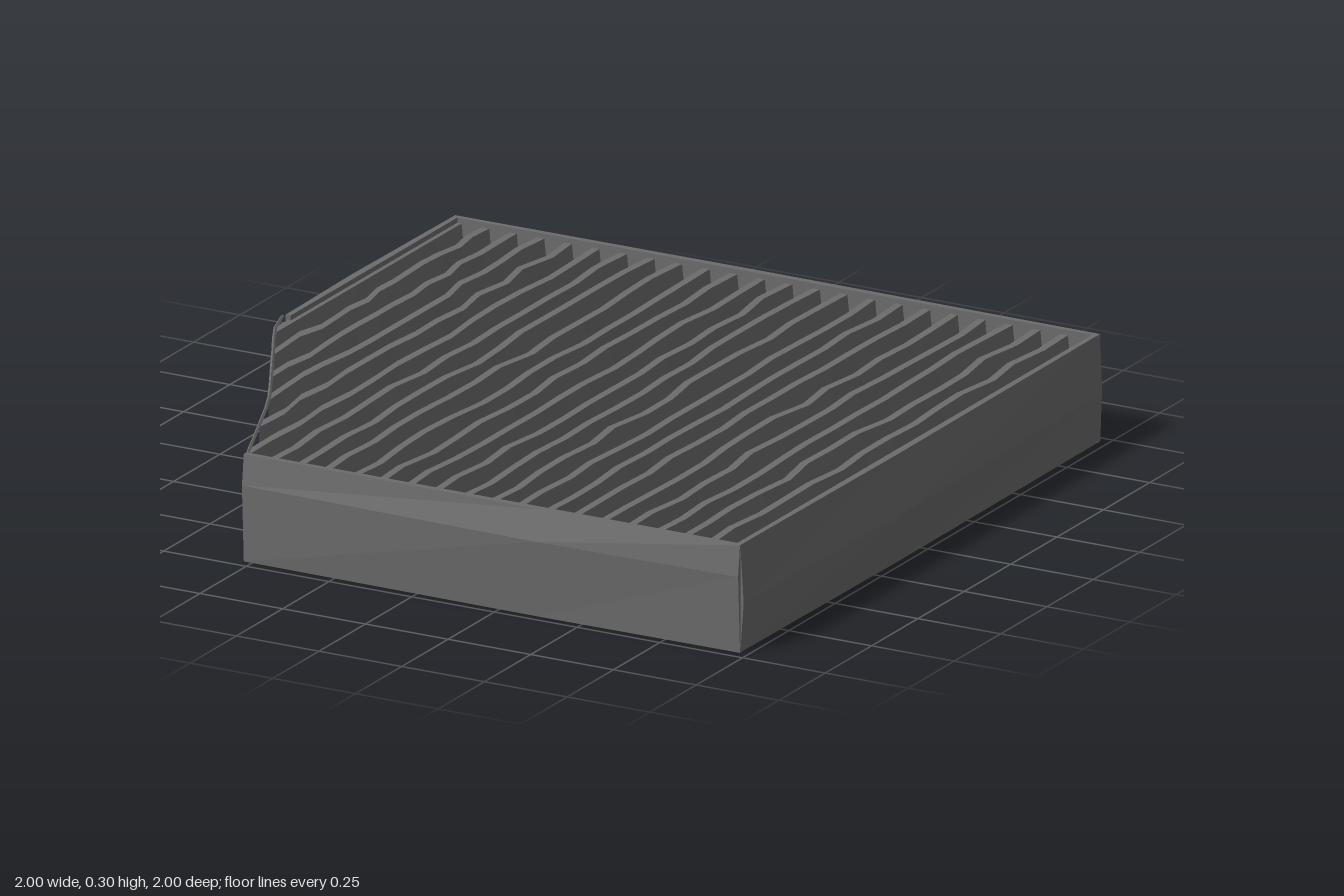
import * as THREE from 'three';

const HEIGHT = 0.3;
const FOLDS = 47; // alternating crests and valleys
const ROWS = 14;
// outline of the cut-off corner, as [x, z]
const CUT = [[-0.985, -0.06], [-0.96, 0.02], [-0.87, 0.195], [-0.77, 0.385], [-0.69, 0.54], [-0.62, 0.71], [-0.525, 0.95]];

function seeded(seed) {
  return () => {
    seed = (seed * 16807) % 2147483647;
    return seed / 2147483647;
  };
}

function facet(geometry) {
  const flat = geometry.toNonIndexed();
  flat.computeVertexNormals();
  return flat;
}

// z of the front edge at a given x
function frontEdge(x) {
  for (let i = 1; i < CUT.length; i++) {
    const [x0, z0] = CUT[i - 1], [x1, z1] = CUT[i];
    if (x <= x1) return z0 + (z1 - z0) * (x - x0) / (x1 - x0);
  }
  return 0.955;
}

// thin zigzag sheet with blunt, slightly uneven folds; two columns make one fold
function pleatGeometry() {
  const random = seeded(7);
  const columns = FOLDS * 2 - 1;
  const wobble = Array.from({ length: FOLDS * (ROWS + 1) }, () => (random() - 0.5) * 0.026);
  const g = new THREE.BoxGeometry(1, 1, 1, columns, 1, ROWS);
  const p = g.attributes.position;
  for (let k = 0; k < p.count; k++) {
    const i = Math.round((p.getX(k) + 0.5) * columns);
    const j = Math.round((p.getZ(k) + 0.5) * ROWS);
    const fold = Math.floor(i / 2);
    const crest = fold % 2 ? -1 : 1;
    const outer = crest * p.getY(k) > 0; // the wider side of the fold
    const x = -0.958 + 1.916 * fold / (FOLDS - 1) + (i % 2 ? 1 : -1) * (outer ? 0.011 : 0.004);
    const y = 0.151 + crest * (outer ? 0.135 : 0.121);
    const inside = fold > 0 && fold < FOLDS - 1 && j > 0 && j < ROWS;
    const dx = inside ? wobble[fold * (ROWS + 1) + j] : 0;
    const z = THREE.MathUtils.lerp(-0.96, frontEdge(x), j / ROWS);
    p.setXYZ(k, x + dx, y, z);
  }
  return facet(g);
}

// frame board, flat inside at z = 0, swelling outside to a blunt point at (u, v)
function boardGeometry(length, u, v) {
  const g = new THREE.BoxGeometry(length, HEIGHT, 1, 2, 2, 1);
  const p = g.attributes.position;
  for (let k = 0; k < p.count; k++) {
    const midX = Math.abs(p.getX(k)) < 1e-4, midY = Math.abs(p.getY(k)) < 1e-4;
    const swell = midX && midY ? 0.026 : midY ? 0.01 : midX ? 0.006 : 0;
    p.setZ(k, p.getZ(k) > 0 ? 0.015 + swell : 0);
    if (midX) p.setX(k, u);
    if (midY) p.setY(k, v);
  }
  return facet(g);
}

export function createModel() {
  const model = new THREE.Group();
  model.name = 'pleatedFilter';
  const grey = new THREE.MeshStandardMaterial({ color: 0x6c6c6c });
  grey.name = 'greyFibre';

  function add(name, geometry, x = 0, y = 0, z = 0, turn = 0) {
    const mesh = new THREE.Mesh(geometry, grey);
    mesh.name = name;
    mesh.position.set(x, y, z);
    mesh.rotation.y = turn;
    model.add(mesh);
  }

  add('pleats', pleatGeometry());

  // frame boards
  const mid = HEIGHT / 2;
  add('frontBoard', boardGeometry(1.5, 0.145, 0.065), 0.225, mid, 0.954);
  add('backBoard', boardGeometry(1.95, 0.05, -0.01), 0, mid, -0.959, Math.PI);
  add('leftBoard', boardGeometry(1.93, -0.12, -0.01), 0.959, mid, 0, Math.PI / 2);
  add('rightBoard', boardGeometry(0.91, 0.1, -0.08), -0.96, mid, -0.515, -Math.PI / 2);

  // thin rails following the cut corner
  for (const [name, y] of [['upperRail', 0.294], ['lowerRail', 0.006]]) {
    const points = CUT.map(([x, z]) => new THREE.Vector3(x, y, z));
    const path = new THREE.CatmullRomCurve3(points);
    add(name, facet(new THREE.TubeGeometry(path, 12, 0.005, 4)));
  }
  return model;
}
